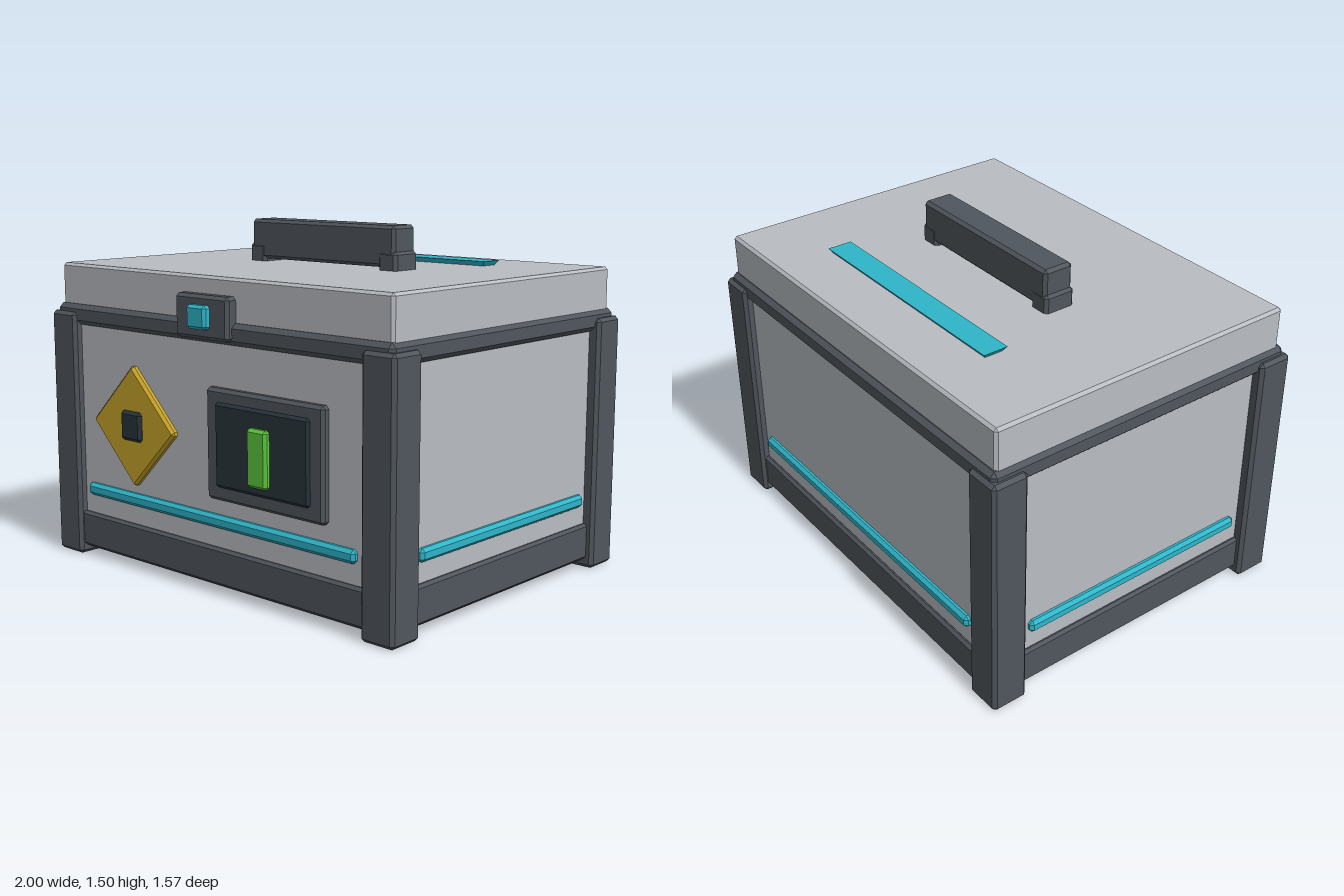
import * as THREE from 'three';
import { ConvexGeometry } from 'three/addons/geometries/ConvexGeometry.js';

const mat = (name, color) => {
  const m = new THREE.MeshStandardMaterial({ color });
  m.name = name;
  return m;
};

// Box with chamfered edges, centred on the origin
function chamferBox(w, h, d, c) {
  const pts = [];
  for (const sx of [-1, 1]) for (const sy of [-1, 1]) for (const sz of [-1, 1]) {
    const x = w / 2, y = h / 2, z = d / 2;
    pts.push(
      new THREE.Vector3(sx * x, sy * (y - c), sz * (z - c)),
      new THREE.Vector3(sx * (x - c), sy * y, sz * (z - c)),
      new THREE.Vector3(sx * (x - c), sy * (y - c), sz * z));
  }
  return new ConvexGeometry(pts);
}

export function createModel() {
  const group = new THREE.Group();
  group.name = 'crate';
  const light = mat('light grey', 0xb9bdc3);
  const dark = mat('dark grey', 0x50565d);
  const cyan = mat('cyan', 0x2fb5c9);
  const gold = mat('gold', 0xc8a429);
  const green = mat('green', 0x5cc83c);
  const black = mat('blue black', 0x28343b);

  // Add a chamfered block given its extents on each axis
  const block = (name, m, [x0, x1], [y0, y1], [z0, z1], c = 0.01) => {
    const mesh = new THREE.Mesh(chamferBox(x1 - x0, y1 - y0, z1 - z0, c), m);
    mesh.position.set((x0 + x1) / 2, (y0 + y1) / 2, (z0 + z1) / 2);
    mesh.name = name;
    group.add(mesh);
    return mesh;
  };

  // Body, lid and rim
  const ZC = -0.02; // middle of the case in z
  block('body', light, [-0.95, 0.95], [0.03, 1.1], [ZC - 0.725, ZC + 0.725], 0.008);
  block('rim', dark, [-0.977, 0.977], [1.05, 1.14], [ZC - 0.749, ZC + 0.749], 0.02);
  block('lid', light, [-0.96, 0.96], [1.1, 1.318], [ZC - 0.725, ZC + 0.725], 0.012);

  // Corner posts
  for (const sx of [-1, 1]) for (const sz of [-1, 1]) {
    const x = sx * 0.918, z = ZC + sz * 0.682;
    block('cornerPost', dark, [x - 0.082, x + 0.082], [0, 1.105], [z - 0.082, z + 0.082], 0.015);
  }

  // Bottom rails and glowing strips on all four sides
  for (const s of [-1, 1]) {
    const z = ZC + s * 0.73, x = s * 0.95;
    block('bottomRail', dark, [-0.87, 0.87], [0.04, 0.2], [z - 0.015, z + 0.015], 0.012);
    block('sideBottomRail', dark, [x - 0.018, x + 0.018], [0.04, 0.2], [ZC - 0.65, ZC + 0.65], 0.012);
    block('lightStrip', cyan, [-0.795, 0.795], [0.285, 0.34], [z - 0.02, z + 0.02], 0.014);
    block('sideLightStrip', cyan, [x - 0.025, x + 0.025], [0.285, 0.34], [ZC - 0.56, ZC + 0.56], 0.014);
  }

  // Carrying handle on the lid
  const hz = [-0.092, 0.055];
  for (const s of [-1, 1]) {
    block('handleFoot', dark, [s * 0.38 - 0.05, s * 0.38 + 0.05], [1.3, 1.398], hz, 0.014);
  }
  block('handleGrip', dark, [-0.418, 0.418], [1.33, 1.505], [-0.09, 0.053], 0.014);

  // Lid strip, tapering down to the lid
  const stripGeo = new THREE.BoxGeometry(1.12, 0.025, 0.112).toNonIndexed();
  const p = stripGeo.attributes.position;
  for (let i = 0; i < p.count; i++) {
    if (p.getY(i) < 0) {
      p.setX(i, p.getX(i) - Math.sign(p.getX(i)) * 0.018);
      p.setZ(i, p.getZ(i) - Math.sign(p.getZ(i)) * 0.018);
    }
  }
  stripGeo.computeVertexNormals();
  const lidStrip = new THREE.Mesh(stripGeo, cyan);
  lidStrip.position.set(0, 1.3265, -0.44);
  lidStrip.name = 'lidStrip';
  group.add(lidStrip);

  // Front latch
  block('latch', dark, [-0.158, 0.152], [1.065, 1.245], [0.69, 0.754], 0.014);
  block('latchButton', cyan, [-0.06, 0.052], [1.108, 1.206], [0.73, 0.785], 0.012);

  // Diamond plate with its centre stud
  const diamond = block('diamondPlate', gold, [-0.66, -0.28], [0.45, 0.83], [0.68, 0.732], 0.012);
  diamond.rotation.z = Math.PI / 4;
  block('diamondStud', black, [-0.537, -0.405], [0.577, 0.708], [0.7, 0.747], 0.014);

  // Display panel
  block('displayFrame', dark, [0, 0.65], [0.408, 0.872], [0.69, 0.738], 0.014);
  block('displayScreen', black, [0.06, 0.585], [0.465, 0.82], [0.7, 0.75], 0.014);
  block('displayBar', green, [0.267, 0.377], [0.505, 0.743], [0.73, 0.774], 0.012);

  return group;
}
